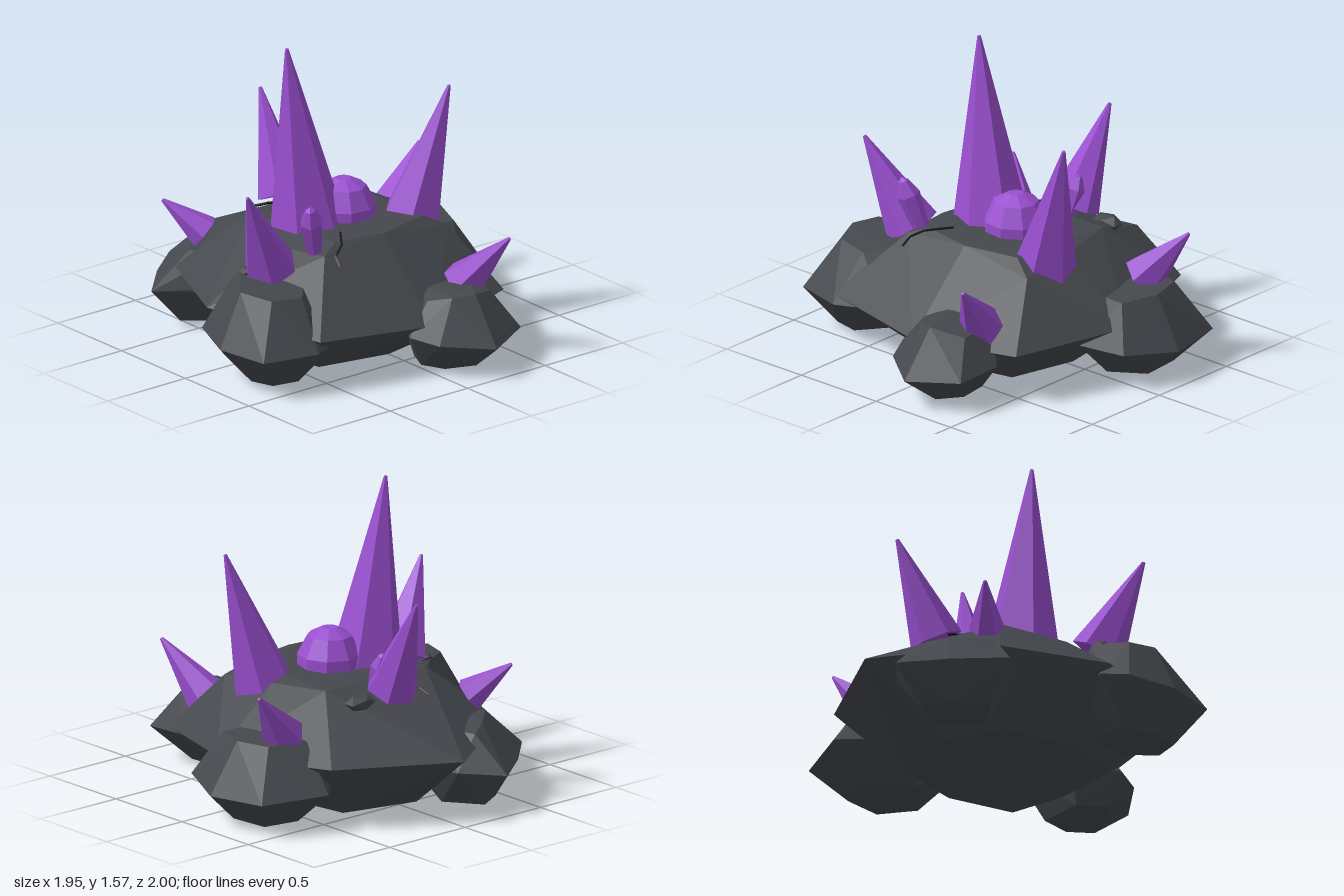
import * as THREE from 'three';
import { ConvexGeometry } from 'three/addons/geometries/ConvexGeometry.js';

const mat = (color) => new THREE.MeshStandardMaterial({ color, flatShading: true });
const V = (p) => new THREE.Vector3(...p);

export function createModel() {
  const group = new THREE.Group();
  const stone = mat(0x45484d), purple = mat(0x9a4fd0), dark = mat(0x15171a);

  const add = (name, geometry, material) => {
    const mesh = new THREE.Mesh(geometry, material);
    mesh.name = name;
    group.add(mesh);
    return mesh;
  };

  // Faceted boulder wrapped around a handful of corners
  const rock = (name, points) => add(name, new ConvexGeometry(points.map(V)), stone);

  // Six-sided shape following an axis; profile = [radius, fraction of length]
  const crystal = (name, base, tip, profile, turn = 0, sides = 6) => {
    const axis = V(tip).sub(V(base));
    const length = axis.length();
    const pts = profile.map(([r, t]) => new THREE.Vector2(r, t * length));
    const geo = new THREE.LatheGeometry(pts, sides).toNonIndexed();
    geo.computeVertexNormals();
    geo.rotateY(turn);
    const mesh = add(name, geo, purple);
    mesh.position.set(...base);
    mesh.quaternion.setFromUnitVectors(new THREE.Vector3(0, 1, 0), axis.normalize());
  };

  // Central boulder: top, ridge and base rings
  rock('mainRock', [
    [0, 0.635, 0.34], [0.42, 0.57, 0.34], [0.4, 0.6, 0], [0.33, 0.62, -0.32],
    [-0.32, 0.62, -0.33], [-0.45, 0.58, 0], [-0.38, 0.6, 0.34], [-0.28, 0.64, 0.3], [0.3, 0.635, 0.28],
    [-0.02, 0.33, -0.97], [0.57, 0.33, -0.64], [0.78, 0.3, -0.01], [0.57, 0.27, 0.59],
    [0, 0.25, 0.73], [-0.63, 0.28, 0.61], [-0.82, 0.32, -0.05], [-0.59, 0.33, -0.58],
    [-0.1, 0, -0.52], [0.3, 0, -0.42], [0.42, 0.02, 0], [0.3, 0, 0.32],
    [0, 0, 0.38], [-0.4, 0.01, 0.32], [-0.46, 0.01, 0], [-0.38, 0.01, -0.35],
  ]);

  // Boulders half buried in the sides
  rock('leftSideRock', [
    [-0.8, 0.49, 0.1], [-0.84, 0.49, 0.24], [-0.77, 0.47, 0.4], [-0.6, 0.46, 0.43],
    [-0.48, 0.47, 0.3], [-0.46, 0.48, 0.1], [-0.64, 0.5, 0.0],
    [-0.98, 0.22, 0.25], [-0.92, 0.21, 0.52], [-0.64, 0.22, 0.61], [-0.4, 0.22, 0.5],
    [-0.33, 0.22, 0.25], [-0.5, 0.25, -0.06], [-0.78, 0.27, -0.07], [-0.9, 0.25, 0.01],
    [-0.82, 0.03, 0.3], [-0.78, 0.03, 0.42], [-0.64, 0.03, 0.45], [-0.45, 0.07, 0.35],
    [-0.5, 0.06, 0.12], [-0.76, 0.04, 0.1],
  ]);
  rock('rightSideRock', [
    [0.55, 0.43, -0.42], [0.76, 0.43, -0.38], [0.81, 0.43, -0.2], [0.74, 0.42, -0.01], [0.5, 0.42, -0.02],
    [0.58, 0.2, -0.63], [0.91, 0.18, -0.5], [0.97, 0.17, -0.18], [0.85, 0.2, 0.1],
    [0.62, 0.22, 0.18], [0.4, 0.2, 0.05], [0.35, 0.2, -0.4],
    [0.6, 0.02, -0.42], [0.77, 0.01, -0.36], [0.79, 0.01, -0.15], [0.65, 0.03, 0.0], [0.42, 0.02, -0.2],
  ]);
  rock('frontRock', [
    [0.02, 0.36, 0.66], [0.09, 0.39, 0.77], [0.2, 0.4, 0.82], [0.36, 0.36, 0.74], [0.36, 0.38, 0.55], [0.1, 0.39, 0.5],
    [-0.11, 0.2, 0.68], [-0.04, 0.18, 0.83], [0.19, 0.16, 1.0], [0.45, 0.18, 0.87], [0.47, 0.2, 0.62],
    [0.3, 0.2, 0.42], [0.02, 0.2, 0.46],
    [-0.02, 0.03, 0.66], [0.05, 0.02, 0.76], [0.22, 0.01, 0.8], [0.32, 0.02, 0.7], [0.28, 0.01, 0.52], [0.05, 0.02, 0.52],
  ]);
  rock('backRock', [
    [-0.24, 0.39, -0.8], [-0.36, 0.41, -0.72], [-0.52, 0.4, -0.56], [-0.4, 0.41, -0.42], [-0.16, 0.39, -0.6],
    [-0.28, 0.21, -1.0], [-0.5, 0.21, -0.83], [-0.71, 0.21, -0.62], [-0.58, 0.22, -0.5],
    [-0.35, 0.2, -0.3], [-0.05, 0.2, -0.55], [-0.1, 0.22, -0.83],
    [-0.28, 0.02, -0.83], [-0.42, 0.02, -0.75], [-0.54, 0.02, -0.6], [-0.35, 0.02, -0.45], [-0.15, 0.02, -0.65],
  ]);

  // Tapered spikes: [name, base, tip, radius, turn]
  const spikes = [
    ['tallSpike', [-0.17, 0.6, -0.05], [-0.28, 1.565, -0.08], 0.195, 0.1],
    ['rightSpike', [0.35, 0.56, 0.13], [0.54, 1.255, 0.2], 0.16, 0.3],
    ['backSpike', [0.01, 0.6, -0.46], [0.05, 1.1, -0.69], 0.135, 0.2],
    ['leftSpike', [-0.55, 0.52, 0.12], [-0.78, 0.975, 0.22], 0.14, 0.4],
    ['frontSpike', [0.32, 0.36, 0.57], [0.42, 0.645, 0.82], 0.115, 0],
    ['rightRearSpike', [0.61, 0.44, -0.32], [0.84, 0.705, -0.4], 0.115, 0.2],
    ['leftRearSpike', [-0.44, 0.49, -0.53], [-0.59, 0.655, -0.68], 0.09, 0.3],
  ];
  for (const [name, base, tip, r, turn] of spikes)
    crystal(name, base, tip, [[0, 0], [r, 0], [0.009, 0.995], [0, 1]], turn);

  // Small double-ended gems
  const gem = (r) => [[0, 0], [r * 0.7, 0], [r, 0.65], [r * 0.45, 0.93], [0, 1]];
  crystal('smallFrontGem', [-0.37, 0.6, 0.25], [-0.45, 0.87, 0.31], gem(0.06), 0.3);
  crystal('smallBackGem', [0.05, 0.58, -0.37], [0.06, 0.79, -0.45], gem(0.05), 0);

  // Faceted dome
  crystal('dome', [0.03, 0.62, -0.01], [0.03, 0.82, -0.01],
    [[0.165, 0], [0.165, 0.32], [0.115, 0.8], [0.04, 1], [0, 1]], 0.25, 9);

  // Loose stone chips
  const chips = [
    [[0.23, 0.575, -0.47], [0.09, 0.045, 0.06]],
    [[-0.65, 0.5, 0.05], [0.045, 0.03, 0.045]],
  ];
  for (const [position, scale] of chips) {
    const chip = add('stoneChip', new THREE.IcosahedronGeometry(1, 0), stone);
    chip.position.set(...position);
    chip.scale.set(...scale);
  }

  // Thin dark cracks lying on the boulder
  const cracks = [
    [[-0.345, 0.56, 0.42], [-0.335, 0.6, 0.37], [-0.27, 0.64, 0.34], [-0.18, 0.645, 0.22]],
    [[-0.16, 0.55, -0.54], [-0.15, 0.575, -0.48], [-0.12, 0.595, -0.43], [-0.125, 0.625, -0.35], [-0.09, 0.63, -0.3]],
  ];
  for (const crack of cracks) {
    const path = new THREE.CurvePath();
    for (let i = 1; i < crack.length; i++)
      path.add(new THREE.LineCurve3(V(crack[i - 1]), V(crack[i])));
    add('crack', new THREE.TubeGeometry(path, 24, 0.007, 4), dark);
  }
  return group;
}
